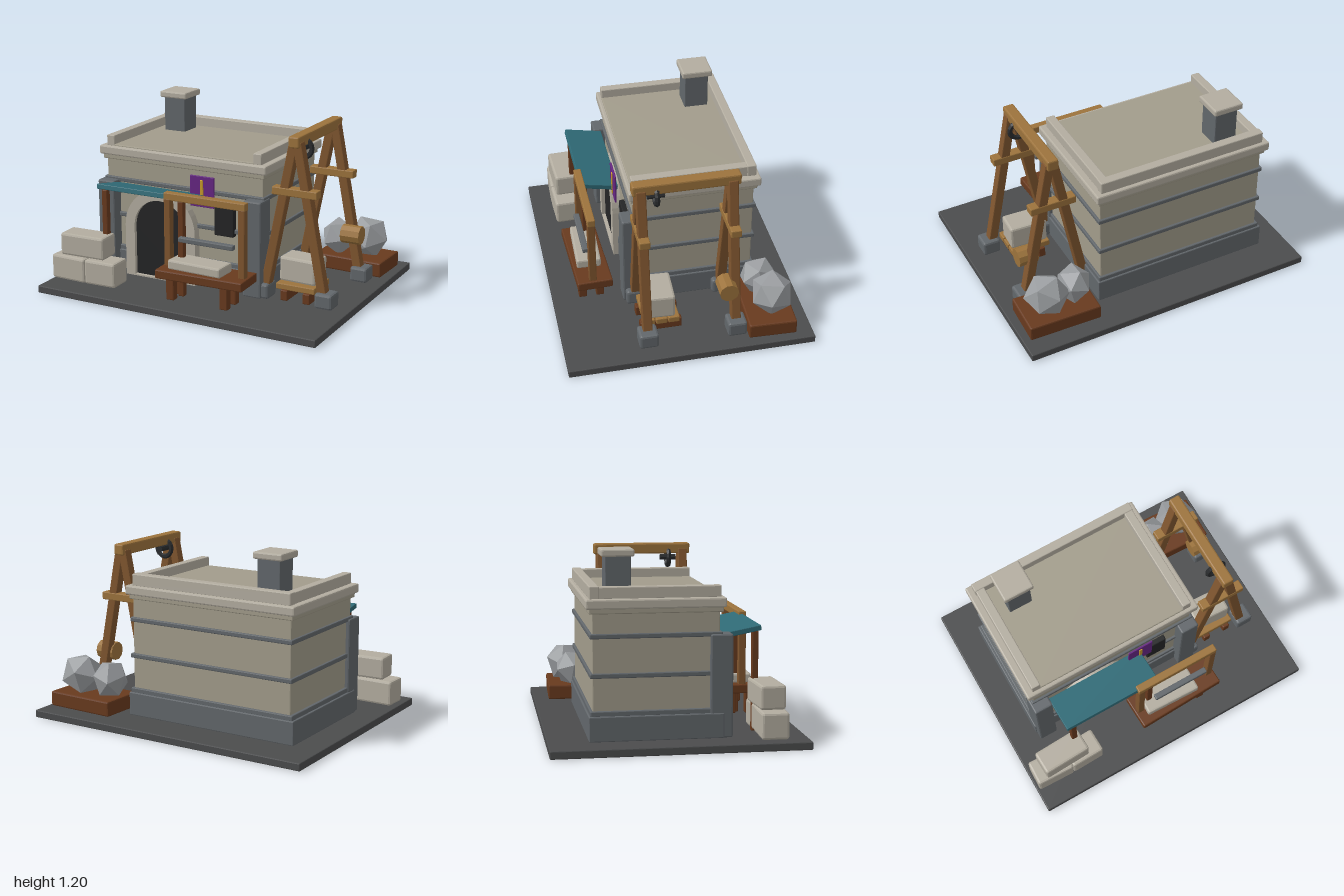
import * as THREE from 'three';
import { RoundedBoxGeometry } from 'three/addons/geometries/RoundedBoxGeometry.js';

const COLORS = {
  slab: 0x4b4c4d, stone: 0xa29c8b, pale: 0xb3ada0, slate: 0x62676b, dark: 0x242526, rock: 0x9a9da0,
  wood: 0x80562f, tan: 0x9c733c, brown: 0x683a1e, teal: 0x2f6a76, purple: 0x652682, gold: 0xc79a2c, iron: 0x2a2c2e,
};
const mats = {};
const mat = (c) => (mats[c] ??= new THREE.MeshStandardMaterial({ color: COLORS[c], flatShading: true }));

export function createModel() {
  const model = new THREE.Group();
  model.name = 'stonemasonWorkshop';

  function add(name, geometry, color, parent = model) {
    const mesh = new THREE.Mesh(geometry, mat(color));
    mesh.name = name;
    parent.add(mesh);
    return mesh;
  }
  // Box given by its limits, with a small bevel
  function box(name, color, [x0, x1], [y0, y1], [z0, z1], parent = model, bevel = 0.006) {
    const w = x1 - x0, h = y1 - y0, d = z1 - z0;
    const r = Math.min(bevel, Math.min(w, h, d) * 0.3);
    const mesh = add(name, new RoundedBoxGeometry(w, h, d, 1, r), color, parent);
    mesh.position.set((x0 + x1) / 2, (y0 + y1) / 2, (z0 + z1) / 2);
    return mesh;
  }
  function group(name) {
    const g = new THREE.Group();
    g.name = name;
    model.add(g);
    return g;
  }

  box('groundSlab', 'slab', [-1, 1], [0, 0.05], [-0.795, 0.795]);

  // Building: plinth, walls, string courses, cornice, roof
  const house = group('building');
  box('plinth', 'slate', [-0.815, 0.41], [0.05, 0.205], [-0.545, 0.285], house);
  box('plinthCap', 'slate', [-0.8, 0.4], [0.2, 0.235], [-0.535, 0.275], house);
  box('walls', 'stone', [-0.78, 0.385], [0.05, 0.86], [-0.52, 0.26], house);
  for (const y of [0.45, 0.69]) box('stringCourse', 'slate', [-0.795, 0.4], [y - 0.015, y + 0.015], [-0.535, 0.275], house);
  box('lowerCornice', 'stone', [-0.8, 0.4], [0.825, 0.86], [-0.54, 0.28], house);
  box('cornice', 'pale', [-0.82, 0.42], [0.855, 0.915], [-0.56, 0.295], house, 0.01);
  box('roof', 'stone', [-0.73, 0.33], [0.9, 0.925], [-0.49, 0.27], house);
  box('backParapet', 'pale', [-0.78, 0.38], [0.91, 0.99], [-0.535, -0.475], house);
  for (const x of [-0.745, 0.345]) box('sideParapet', 'pale', [x - 0.03, x + 0.03], [0.91, 0.985], [-0.48, 0.27], house);
  for (const x of [-0.745, 0.345]) box('cornerPier', 'slate', [x - 0.063, x + 0.063], [0.05, 0.69], [0.2, 0.34], house, 0.01);

  // Chimney
  box('chimneyStack', 'slate', [-0.645, -0.485], [0.9, 1.16], [-0.425, -0.265], house);
  box('chimneyCap', 'pale', [-0.67, -0.465], [1.155, 1.2], [-0.45, -0.245], house, 0.01);

  // Arched doorway
  const arch = (r, y0, path) => {
    path.moveTo(r, y0);
    path.lineTo(r, 0.4);
    path.absarc(0, 0.4, r, 0, Math.PI, false);
    path.lineTo(-r, y0);
    path.lineTo(r, y0);
    return path;
  };
  const surround = arch(0.265, 0.05, new THREE.Shape());
  surround.holes.push(arch(0.195, 0.06, new THREE.Path()));
  const extrude = (shape, depth) => new THREE.ExtrudeGeometry(shape, { depth, bevelEnabled: false, curveSegments: 10 });
  add('doorSurround', extrude(surround, 0.07), 'pale', house).position.set(-0.345, 0, 0.25);
  add('doorOpening', extrude(arch(0.2, 0.052, new THREE.Shape()), 0.04), 'dark', house).position.set(-0.345, 0, 0.255);
  box('window', 'dark', [0.05, 0.19], [0.415, 0.61], [0.25, 0.295], house);

  // Awning on two posts
  const awning = group('awning');
  const sheet = box('awningRoof', 'teal', [-0.685, -0.015], [0.667, 0.7], [0.288, 0.542], awning, 0.004);
  sheet.rotation.x = -0.19;
  for (const x of [-0.635, -0.065]) box('awningPost', 'brown', [x - 0.02, x + 0.02], [0.05, 0.685], [0.49, 0.53], awning);

  // Hanging banner with a plain stripe
  box('banner', 'purple', [-0.11, 0.065], [0.6, 0.805], [0.312, 0.324]);
  box('bannerStripe', 'gold', [-0.034, -0.012], [0.62, 0.78], [0.32, 0.33]);

  // Workbench with overhead frame
  const bench = group('workbench');
  bench.position.set(0.12, 0, 0.535);
  box('benchTop', 'brown', [-0.305, 0.305], [0.195, 0.255], [-0.115, 0.115], bench, 0.008).rotation.y = 0.035;
  for (const x of [-0.215, 0.17]) for (const z of [-0.055, 0.06])
    box('benchLeg', 'brown', [x - 0.028, x + 0.028], [0.05, 0.2], [z - 0.026, z + 0.026], bench);
  for (const x of [-0.265, 0.265]) box('framePost', 'wood', [x - 0.023, x + 0.023], [0.25, 0.7], [-0.023, 0.026], bench);
  box('frameBeam', 'tan', [-0.29, 0.29], [0.69, 0.74], [-0.025, 0.025], bench);
  box('sawBar', 'slate', [-0.17, 0.22], [0.435, 0.468], [0.015, 0.053], bench);
  box('benchStone', 'pale', [-0.235, 0.148], [0.25, 0.315], [-0.08, 0.08], bench, 0.012).rotation.y = -0.03;

  // Stacked stone blocks
  const stack = group('blockStack');
  box('lowerBlock', 'pale', [-0.98, -0.72], [0.065, 0.23], [0.485, 0.655], stack, 0.015).rotation.y = -0.03;
  box('lowerBlock', 'pale', [-0.725, -0.495], [0.065, 0.23], [0.49, 0.655], stack, 0.015).rotation.y = 0.03;
  box('upperBlock', 'pale', [-0.915, -0.59], [0.235, 0.385], [0.48, 0.64], stack, 0.015).rotation.y = 0.04;

  // Hoist: two A-frames, ridge beam, pulley and winding drum
  const hoist = group('hoist');
  hoist.position.x = 0.615;
  for (const z of [0.263, -0.31]) {
    for (const side of [-1, 1]) {
      const foot = new THREE.Vector3(side * 0.205, 0.1, z), top = new THREE.Vector3(side * 0.012, 1.09, z);
      const leg = add('hoistLeg', new RoundedBoxGeometry(0.06, foot.distanceTo(top), 0.062, 1, 0.006), 'wood', hoist);
      leg.position.addVectors(foot, top).multiplyScalar(0.5);
      leg.rotation.z = Math.atan2(foot.x - top.x, top.y - foot.y);
      box('footStone', 'slate', [side * 0.22 - 0.06, side * 0.22 + 0.06], [0.05, 0.15], [z - 0.062, z + 0.062], hoist, 0.015);
    }
    box('crossBrace', 'tan', [-0.155, 0.155], [0.745, 0.797], [z - 0.034, z + 0.034], hoist);
  }
  box('ridgeBeam', 'tan', [-0.037, 0.037], [1.06, 1.133], [-0.362, 0.316], hoist, 0.01);
  const pulley = add('pulleyWheel', new THREE.TorusGeometry(0.058, 0.017, 6, 16), 'iron', hoist);
  pulley.position.set(0, 1.033, 0.165);
  const axle = add('pulleyAxle', new THREE.CylinderGeometry(0.02, 0.02, 0.11, 8), 'iron', hoist);
  axle.position.copy(pulley.position);
  axle.rotation.x = Math.PI / 2;
  const drum = add('windingDrum', new THREE.CylinderGeometry(0.062, 0.062, 0.13, 10), 'tan', hoist);
  drum.position.set(0.17, 0.375, -0.257);
  drum.rotation.z = Math.PI / 2;

  // Pallet carrying a cut block
  const pallet = group('pallet');
  for (const x of [0.55, 0.705]) box('palletRunner', 'brown', [x - 0.024, x + 0.024], [0.05, 0.12], [0.02, 0.29], pallet);
  for (const z of [0.075, 0.155, 0.235]) box('palletPlank', 'tan', [0.485, 0.755], [0.115, 0.157], [z - 0.036, z + 0.036], pallet);
  box('cutBlock', 'pale', [0.49, 0.745], [0.157, 0.32], [0.06, 0.23], pallet, 0.015).rotation.y = -0.05;

  // Tray of rough boulders
  const tray = group('boulderTray');
  box('trayBase', 'brown', [0.465, 0.95], [0.06, 0.16], [-0.69, -0.38], tray, 0.01).rotation.y = -0.035;
  for (const [x, y, z, r, sx, turn] of [[0.58, 0.26, -0.52, 0.135, 0.88, 0.5], [0.78, 0.275, -0.555, 0.148, 1.02, 1.3]]) {
    const boulder = add('boulder', new THREE.IcosahedronGeometry(r, 0).rotateX(0.55).rotateY(turn), 'rock', tray);
    boulder.position.set(x, y, z);
    boulder.scale.set(sx, 0.98, 0.95);
  }
  return model;
}
